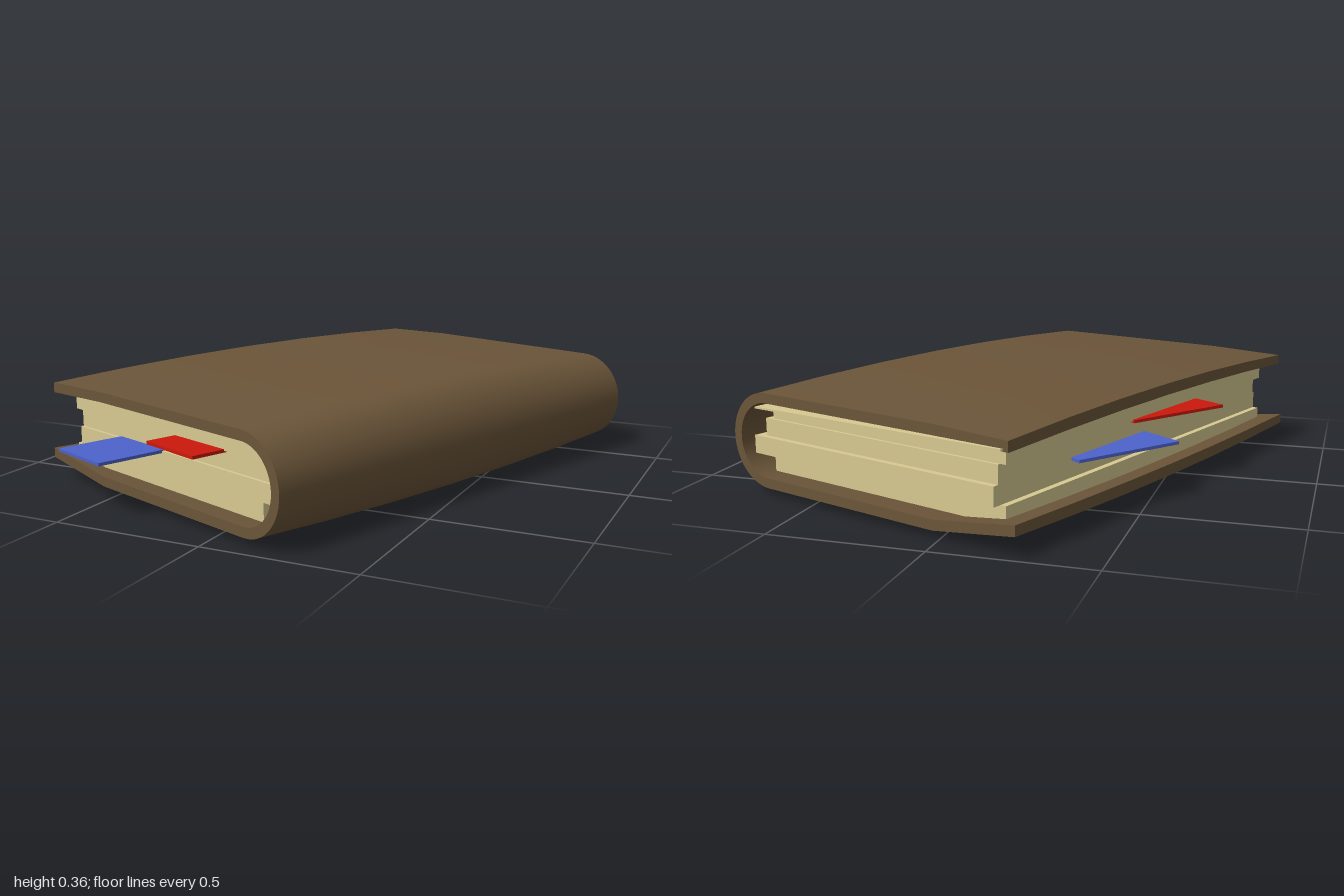
import * as THREE from 'three';
import { toCreasedNormals } from 'three/addons/utils/BufferGeometryUtils.js';

const mat = (color) => new THREE.MeshStandardMaterial({ color });
const leather = mat(0x6b5539);
const paper = mat(0xd8ca92);
const blue = mat(0x4c63cc);
const red = mat(0xcc180c);

const MID = 0.18;      // height of the book's middle plane
const LENGTH = 1.7;
const TURN = -0.343;   // the book lies turned on the ground

function add(parent, name, geometry, material) {
  const mesh = new THREE.Mesh(geometry, material);
  mesh.name = name;
  parent.add(mesh);
  return mesh;
}

// Wrap-around cover: U-shaped section, bulging towards the middle of its length
function coverGeometry() {
  const R = 0.157, T = 0.033, cx = 0.421;
  const s = new THREE.Shape();
  s.moveTo(-0.578, 0.065);
  s.lineTo(-0.28, MID - R);
  s.lineTo(cx, MID - R);
  s.absarc(cx, MID, R, -Math.PI / 2, Math.PI / 2, false);
  s.lineTo(-0.28, MID + R);
  s.lineTo(-0.557, 0.328);
  s.lineTo(-0.557, 0.328 - T);
  s.lineTo(-0.28, MID + R - T);
  s.lineTo(cx, MID + R - T);
  s.absarc(cx, MID, R - T, Math.PI / 2, -Math.PI / 2, true);
  s.lineTo(-0.28, MID - R + T);
  s.lineTo(-0.578, 0.065 + T);
  s.closePath();
  const g = new THREE.ExtrudeGeometry(s, { depth: LENGTH, steps: 6, curveSegments: 14, bevelEnabled: false });
  g.translate(0, 0, -LENGTH / 2);
  const p = g.attributes.position;
  for (let i = 0; i < p.count; i++) {
    const t = p.getZ(i) / (LENGTH / 2);
    p.setY(i, MID + (p.getY(i) - MID) * (1 + 0.155 * (1 - t * t)));
  }
  return toCreasedNormals(g, 0.5);
}

// Thin rectangular marker; corner and direction are given on the ground plane
function marker(parent, name, material, [x, z], angle, y, width, length) {
  const g = new THREE.BoxGeometry(width, 0.01, length);
  g.translate(width / 2, 0, -length / 2);
  const m = add(parent, name, g, material);
  m.position.set(x, y, z);
  m.rotation.y = angle;
}

export function createModel() {
  const root = new THREE.Group();
  root.name = 'book';
  const body = new THREE.Group();
  body.name = 'bookBody';
  body.rotation.y = TURN;
  root.add(body);

  add(body, 'cover', coverGeometry(), leather);

  // Slightly misaligned bundles of pages: y range, x range, z range
  const bundles = [
    [0.064, 0.122, -0.502, 0.455, -0.79, 0.80],
    [0.122, 0.182, -0.482, 0.515, -0.82, 0.80],
    [0.182, 0.240, -0.482, 0.480, -0.80, 0.79],
    [0.240, 0.296, -0.502, 0.455, -0.79, 0.80],
  ];
  const pages = new THREE.Group();
  pages.name = 'pages';
  body.add(pages);
  for (const [y0, y1, x0, x1, z0, z1] of bundles) {
    const m = add(pages, 'pageBundle', new THREE.BoxGeometry(x1 - x0, y1 - y0, z1 - z0), paper);
    m.position.set((x0 + x1) / 2, (y0 + y1) / 2, (z0 + z1) / 2);
  }

  // Loose sheet slipping out at the back
  const sheet = new THREE.BoxGeometry(0.95, 0.006, 1.5);
  sheet.translate(-0.475, 0, 0.75);
  const loose = add(body, 'looseSheet', sheet, paper);
  loose.position.set(0.41, 0.301, -0.9);
  loose.rotation.y = 0.042;

  // Page markers at the front end and the open side
  marker(root, 'frontBlueMarker', blue, [-0.59, 0.865], -0.38, 0.18, 0.235, 0.4);
  marker(root, 'frontRedMarker', red, [-0.26, 0.865], -0.38, 0.24, 0.235, 0.4);
  marker(root, 'sideBlueMarker', blue, [-0.58, -0.29], -0.66, 0.18, 0.235, 0.4);
  marker(root, 'sideRedMarker', red, [-0.675, 0.025], -0.64, 0.24, 0.235, 0.4);
  return root;
}
